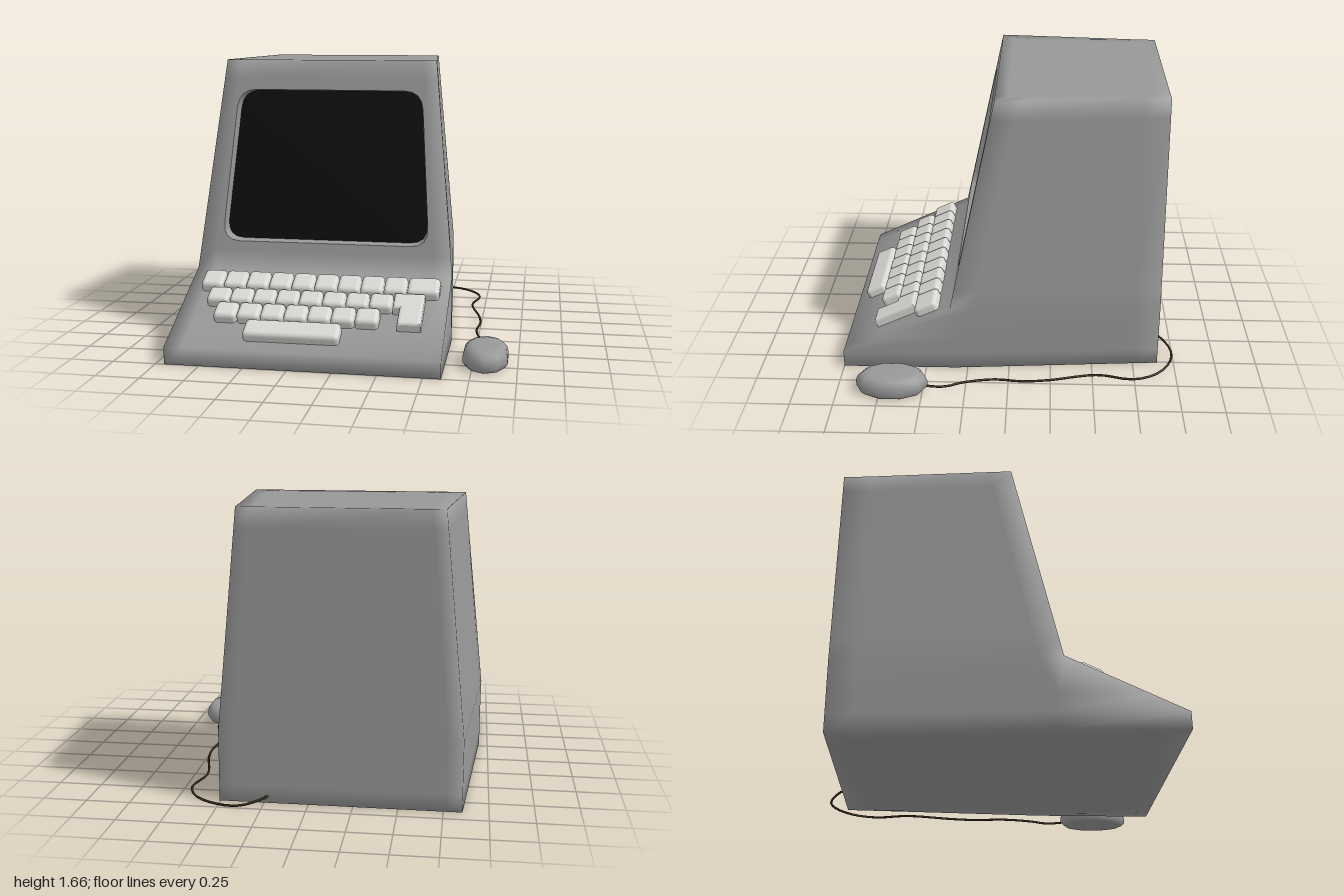
import * as THREE from 'three';
import { RoundedBoxGeometry } from 'three/addons/geometries/RoundedBoxGeometry.js';

const CX = -0.175; // centre line of the computer
const mat = (name, color) => {
  const m = new THREE.MeshStandardMaterial({ color });
  m.name = name;
  return m;
};
const lerp = THREE.MathUtils.lerp;

function mesh(name, geometry, material, parent) {
  const m = new THREE.Mesh(geometry, material);
  m.name = name;
  parent.add(m);
  return m;
}

function surface(points, index) {
  const g = new THREE.BufferGeometry();
  g.setAttribute('position', new THREE.Float32BufferAttribute(points.flat(), 3));
  g.setIndex(index);
  g.computeVertexNormals();
  return g;
}

// Front depth of the case at height y: lip, sloping deck, leaning screen face
function frontZ(y) {
  if (y <= 0.1) return 1;
  if (y <= 0.41) return lerp(1, 0.35, (y - 0.1) / 0.31);
  return lerp(0.35, 0.085, (y - 0.41) / 1.25);
}

// Horizontal outline of the case, with extra points beside each corner
function caseRing(y, scale = 1) {
  const t = Math.max(0, (y - 0.41) / 1.25);
  const wf = lerp(0.775, 0.645, t), wb = lerp(0.68, 0.56, t);
  const zf = frontZ(y), zb = -0.9, zm = y < 0.41 ? 0.32 : zf - 0.13;
  const wm = lerp(wf, wb, y < 0.41 ? 0.03 : 0.13 / (zf - zb));
  const wn = lerp(wb, wf, 0.12);
  const ring = [
    [-wf, zf], [-wf * 0.87, zf], [wf * 0.87, zf], [wf, zf],
    [wm, zm], [wn, zb + 0.15],
    [wb, zb], [wb * 0.87, zb], [-wb * 0.87, zb], [-wb, zb],
    [-wn, zb + 0.15], [-wm, zm],
  ];
  const zc = (zf + zb) / 2;
  return ring.map(([x, z]) => [CX + x * scale, y, zc + (z - zc) * scale]);
}

// Rounded outline of the screen opening, anticlockwise
function screenOutline(scale = 1) {
  const corners = [[-0.63, 0.573], [0.63, 0.573], [0.563, 1.48], [-0.563, 1.48]]
    .map(([x, y]) => new THREE.Vector2(CX + x * scale, 1.026 + (y - 1.026) * scale));
  const out = [];
  corners.forEach((p, i) => {
    const toward = (q) => q.clone().sub(p).setLength(0.11).add(p);
    const curve = new THREE.QuadraticBezierCurve(
      toward(corners[(i + 3) % 4]), p, toward(corners[(i + 1) % 4]));
    out.push(...curve.getPoints(4));
  });
  return out;
}

function caseGeometry() {
  const rings = [
    caseRing(0, 0), caseRing(0, 0.85),
    ...[0, 0.1, 0.2, 0.41, 0.52, 1.55, 1.66].map((y) => caseRing(y)),
    caseRing(1.66, 0.85), caseRing(1.66, 0),
  ];
  const n = 12, panelRow = 6, points = rings.flat(), index = [];
  for (let i = 0; i < rings.length - 1; i++) {
    for (let j = 0; j < n; j++) {
      if (i === panelRow && j === 1) continue; // left open for the screen
      const a = i * n + j, b = i * n + (j + 1) % n;
      index.push(a, b, b + n, a, b + n, a + n);
    }
  }
  // Front panel around the screen opening
  const border = [panelRow * n + 1, panelRow * n + 2, (panelRow + 1) * n + 2, (panelRow + 1) * n + 1];
  const contour = border.map((k) => new THREE.Vector2(points[k][0], points[k][1]));
  const hole = screenOutline().reverse();
  const start = points.length;
  hole.forEach((p) => points.push([p.x, p.y, frontZ(p.y)]));
  const ids = [...border, ...hole.map((_, k) => start + k)];
  THREE.ShapeUtils.triangulateShape(contour, [hole])
    .forEach((f) => index.push(...f.map((k) => ids[k])));
  return surface(points, index);
}

// Inner wall of the screen opening
function recessGeometry(depth) {
  const outer = screenOutline(), inner = screenOutline(0.985), n = outer.length;
  const points = [
    ...outer.map((p) => [p.x, p.y, frontZ(p.y)]),
    ...inner.map((p) => [p.x, p.y, frontZ(p.y) - depth]),
  ];
  const index = [];
  for (let k = 0; k < n; k++) {
    const l = (k + 1) % n;
    index.push(k, l, n + l, k, n + l, n + k);
  }
  return surface(points, index);
}

function screenGeometry(depth) {
  const g = new THREE.ShapeGeometry(new THREE.Shape(screenOutline(0.99)));
  const p = g.attributes.position;
  for (let i = 0; i < p.count; i++) p.setZ(i, frontZ(p.getY(i)) - depth);
  g.computeVertexNormals();
  return g;
}

function buildKeyboard(material) {
  const tilt = Math.atan2(0.31, 0.65), k = 1 / Math.cos(tilt);
  const keyboard = new THREE.Group();
  keyboard.name = 'keyboard';
  keyboard.position.set(0, 0.41, 0.35);
  keyboard.rotation.x = tilt;
  const along = (z) => (z - 0.365) * k; // distance down the sloping deck
  const key = (name, x0, x1, z0, z1) => {
    const g = new RoundedBoxGeometry(x1 - x0 - 0.004, 0.09, (z1 - z0) * k - 0.004, 3, 0.026);
    mesh(name, g, material, keyboard)
      .position.set((x0 + x1) / 2, 0.012, along((z0 + z1) / 2));
  };
  const pitch = 0.1362;
  [[-0.87, 9, 0.435, 0.57], [-0.8, 8, 0.575, 0.692], [-0.725, 7, 0.692, 0.815]]
    .forEach(([x, count, z0, z1], row) => {
      for (let i = 0; i < count; i++) {
        key(`keyRow${row + 1}`, x + i * pitch, x + (i + 1) * pitch, z0, z1);
      }
    });
  key('wideKey', 0.356, 0.545, 0.435, 0.57);
  key('spaceBar', -0.52, 0.03, 0.82, 0.945);

  // L-shaped enter key
  const b = 0.018;
  const shape = new THREE.Shape([
    [0.293, 0.575], [0.467, 0.575], [0.467, 0.818], [0.333, 0.818], [0.333, 0.692], [0.293, 0.692],
  ].map(([x, z], i) => new THREE.Vector2(
    x + (i === 1 || i === 2 ? -b : b), -along(z) + (i < 2 ? -b : b))));
  const g = new THREE.ExtrudeGeometry(shape, {
    depth: 0.04, bevelEnabled: true, bevelSize: b, bevelThickness: b, bevelSegments: 3,
  });
  g.rotateX(-Math.PI / 2);
  mesh('enterKey', g, material, keyboard);
  return keyboard;
}

export function createModel() {
  const model = new THREE.Group();
  model.name = 'computer';
  const grey = mat('caseGrey', 0x989898);
  const black = mat('screenBlack', 0x0c0c0c);
  const ivory = mat('keyIvory', 0xd8d7d3);
  const brown = mat('cableBrown', 0x3a2a18);

  // Case and screen
  const depth = 0.07;
  mesh('case', caseGeometry(), grey, model);
  mesh('screenRecess', recessGeometry(depth), grey, model);
  mesh('screen', screenGeometry(depth), black, model);

  model.add(buildKeyboard(ivory));

  // Mouse: a low faceted dome stretched lengthwise
  const profile = [[0, 0], [0.9, 0], [1, 0.02], [1, 0.055], [0.94, 0.085], [0.8, 0.107], [0.6, 0.115], [0, 0.117]]
    .map(([r, y]) => new THREE.Vector2(r, y));
  const mouse = mesh('mouse', new THREE.LatheGeometry(profile, 10), grey, model);
  mouse.scale.set(0.131, 1, 0.21);
  mouse.position.set(0.82, 0, 0.68);

  // Cable lying on the table from the mouse round to the back of the case
  const path = [
    [0.82, 0.03, 0.56], [0.817, 0.012, 0.38], [0.77, 0.012, 0.27], [0.732, 0.012, 0.08],
    [0.747, 0.012, -0.08], [0.73, 0.012, -0.24], [0.667, 0.012, -0.53], [0.705, 0.012, -0.74],
    [0.648, 0.012, -0.88], [0.52, 0.012, -0.975], [0.375, 0.012, -0.994], [0.25, 0.034, -0.925],
    [0.22, 0.04, -0.88],
  ].map((p) => new THREE.Vector3(...p));
  const curve = new THREE.CatmullRomCurve3(path);
  mesh('mouseCable', new THREE.TubeGeometry(curve, 36, 0.007, 6), brown, model);

  return model;
}
